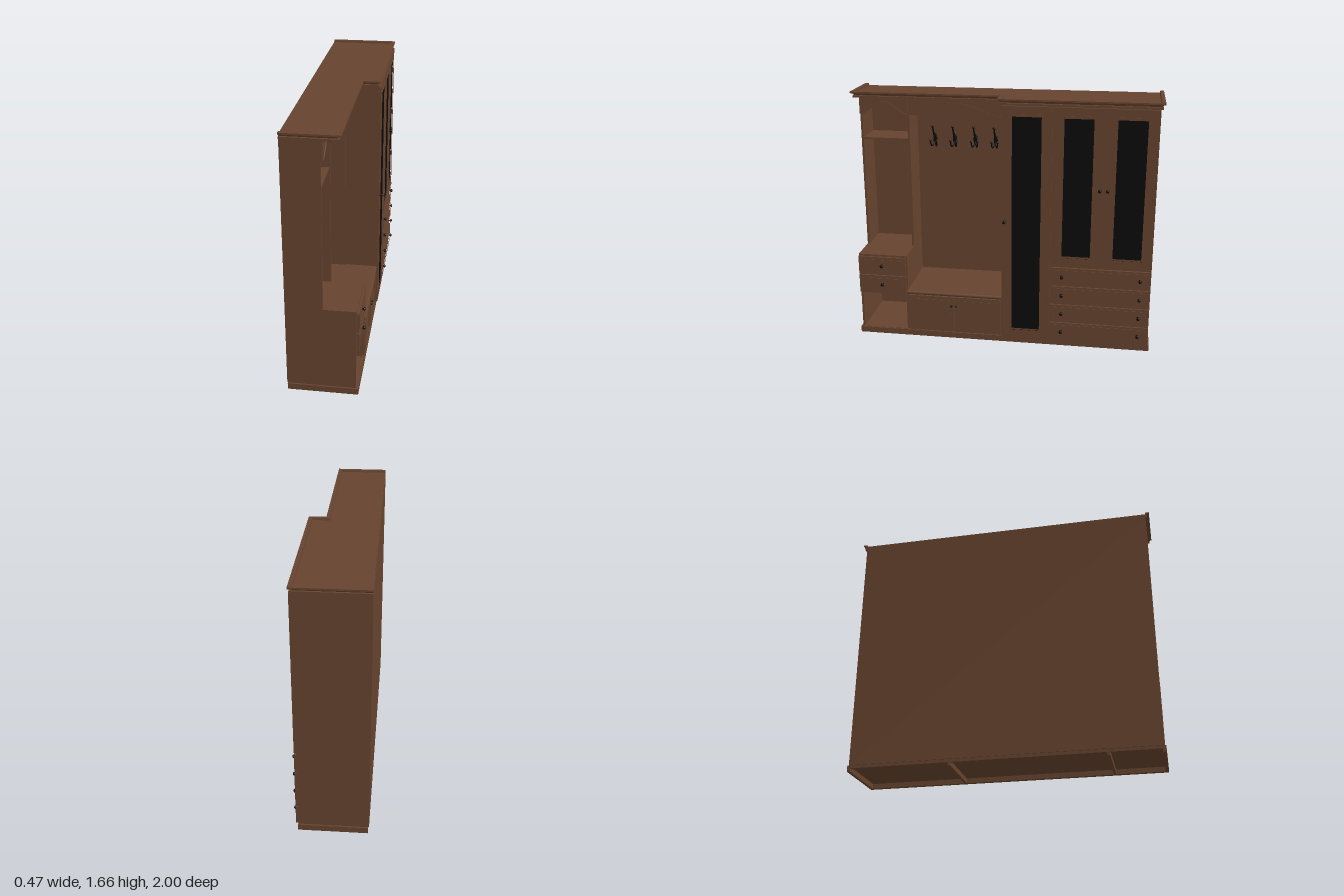
import * as THREE from 'three';

const wood = new THREE.MeshStandardMaterial({ color: 0x66432e });
wood.name = 'brown wood';
const black = new THREE.MeshStandardMaterial({ color: 0x0b0b0b });
black.name = 'black glass and metal';

export function createModel() {
  const root = new THREE.Group();
  root.name = 'hallwayCabinet';

  const add = (name, geo, mat = wood, parent = root) => {
    const m = new THREE.Mesh(geo, mat);
    m.name = name;
    parent.add(m);
    return m;
  };
  // Box given by its limits
  const box = (name, x0, x1, y0, y1, z0, z1, mat = wood, parent = root) => {
    const m = add(name, new THREE.BoxGeometry(x1 - x0, y1 - y0, z1 - z0), mat, parent);
    m.position.set((x0 + x1) / 2, (y0 + y1) / 2, (z0 + z1) / 2);
    return m;
  };
  // Outline drawn in (z, y), pushed from x0 to x1
  const rectPoints = (z0, z1, y0, y1) => [[z0, y0], [z1, y0], [z1, y1], [z0, y1]].map(([z, y]) => new THREE.Vector2(-z, y));
  const slab = (name, shape, x0, x1, parent = root) => {
    const g = new THREE.ExtrudeGeometry(shape, { depth: x1 - x0, bevelEnabled: false });
    g.rotateY(Math.PI / 2);
    g.translate(x0, 0, 0);
    return add(name, g, wood, parent);
  };
  // Rectangular frame of width w
  const frame = (name, z0, z1, y0, y1, w, x0, x1, parent) => {
    const s = new THREE.Shape(rectPoints(z0, z1, y0, y1));
    s.holes.push(new THREE.Path(rectPoints(z0 + w, z1 - w, y0 + w, y1 - w)));
    return slab(name, s, x0, x1, parent);
  };
  // Framed door or drawer front with a recessed panel and a raised bead
  const front = (name, z0, z1, y0, y1, x, w, bead, panelMat = wood) => {
    const g = new THREE.Group();
    g.name = name;
    root.add(g);
    box('panel', x - 0.014, x - 0.008, y0 + 0.01, y1 - 0.01, z0 + 0.01, z1 - 0.01, panelMat, g);
    frame('frame', z0, z1, y0, y1, w, x - 0.015, x, g);
    const i = w - bead * 0.4;
    frame('bead', z0 + i, z1 - i, y0 + i, y1 - i, bead * 0.5, x - 0.008, x + 0.003, g);
    frame('innerBead', z0 + w, z1 - w, y0 + w, y1 - w, bead * 0.6, x - 0.008, x - 0.003, g);
  };
  const knobProfile = [[0, 0], [0.75, 0], [0.4, 0.25], [0.4, 0.9], [1, 1.3], [1, 1.8], [0.6, 2.2], [0, 2.3]];
  const knob = (x, y, z, r = 0.011) => {
    const g = new THREE.LatheGeometry(knobProfile.map(([a, b]) => new THREE.Vector2(a * r, b * r)), 14);
    g.rotateZ(-Math.PI / 2);
    add('knob', g, black).position.set(x, y, z);
  };

  // Plinth
  box('plinthFront', 0.17, 0.195, 0, 0.04, -0.985, 0.985);
  box('plinthBack', -0.235, -0.215, 0.02, 0.04, -0.985, 0.985);
  for (const s of [-1, 1]) box('plinthSide', -0.235, 0.17, 0, 0.04, s * 0.975 - 0.01, s * 0.975 + 0.01);
  for (const z of [0.65, -0.325]) box('plinthRail', -0.235, 0.17, 0, 0.035, z - 0.008, z + 0.008);
  box('bottomBoard', -0.235, 0.185, 0.032, 0.042, -0.975, 0.975);
  box('backPanel', -0.24, -0.23, 0.04, 1.62, -0.973, 0.973);

  // Closed cabinet
  box('tallCarcass', -0.235, 0.193, 0.04, 1.622, -0.975, 0);
  front('tallDoor', -0.32, -0.003, 0.045, 1.618, 0.208, 0.055, 0.018, black);
  front('leftGlassDoor', -0.646, -0.326, 0.577, 1.618, 0.208, 0.058, 0.018, black);
  front('rightGlassDoor', -0.973, -0.653, 0.577, 1.618, 0.208, 0.058, 0.018, black);
  knob(0.208, 0.865, -0.022);
  knob(0.208, 1.1, -0.626);
  knob(0.208, 1.1, -0.674);
  for (let i = 0; i < 4; i++) {
    const y = 0.045 + i * 0.131;
    front('wideDrawer', -0.973, -0.326, y, y + 0.126, 0.208, 0.02, 0.012);
    for (const z of [-0.4, -0.905]) knob(0.202, y + 0.063, z);
  }

  // Open section uprights
  box('endPanelUpper', -0.235, -0.015, 0.575, 1.622, 0.961, 0.975);
  box('endPanelLower', -0.235, 0.18, 0.04, 0.575, 0.961, 0.975);
  box('dividerUpper', -0.235, -0.015, 0.575, 1.622, 0.643, 0.657);
  box('dividerLower', -0.235, 0.18, 0.04, 0.575, 0.643, 0.657);
  box('cabinetUpright', -0.235, -0.015, 0.33, 1.622, 0, 0.012);
  box('upperShelf', -0.235, -0.02, 1.322, 1.335, 0.657, 0.961);

  // Chest of two drawers above an open niche
  box('drawerChestTop', -0.235, 0.185, 0.563, 0.577, 0.645, 0.975);
  box('drawerChestBody', -0.235, 0.18, 0.302, 0.563, 0.657, 0.961);
  for (let i = 0; i < 2; i++) {
    const y = 0.303 + i * 0.133;
    front('smallDrawer', 0.652, 0.975, y, y + 0.128, 0.198, 0.024, 0.012);
    knob(0.191, y + 0.065, 0.815);
  }

  // Bench with two doors
  box('benchBody', -0.235, 0.175, 0.04, 0.305, 0.002, 0.643);
  box('benchSeat', -0.235, 0.187, 0.305, 0.332, 0.002, 0.645);
  const nose = add('benchSeatNose', new THREE.CylinderGeometry(0.0135, 0.0135, 0.643, 16));
  nose.rotation.x = Math.PI / 2;
  nose.position.set(0.186, 0.3185, 0.3235);
  front('benchDoor', 0.006, 0.323, 0.045, 0.3, 0.192, 0.03, 0.012);
  front('benchDoor', 0.327, 0.644, 0.045, 0.3, 0.192, 0.03, 0.012);
  knob(0.192, 0.238, 0.308, 0.007);
  knob(0.192, 0.238, 0.342, 0.007);

  // Arched valances with a bead along the lower edge
  const valance = (z0, z1, flat) => {
    const arch = [];
    const a = z0 + flat, b = z1 - flat;
    for (let i = 0; i <= 28; i++) {
      const t = i / 28;
      const h = Math.pow(Math.sin(Math.PI * t), 1.25) * 0.075;
      arch.push([a + (b - a) * t, 1.498 + h]);
    }
    const edge = [[z0, 1.498], ...arch, [z1, 1.498]].map(([z, y]) => new THREE.Vector2(-z, y));
    slab('valance', new THREE.Shape([...edge, new THREE.Vector2(-z1, 1.622), new THREE.Vector2(-z0, 1.622)]), -0.015, -0.003);
    const raised = edge.map((p) => new THREE.Vector2(p.x, p.y + 0.011)).reverse();
    slab('valanceBead', new THREE.Shape([...edge, ...raised]), -0.015, 0.002);
  };
  valance(0.652, 0.975, 0.025);
  valance(0.002, 0.648, 0.06);

  // Cornice: moulded profile swept round the stepped plan
  const plan = (o) => [
    [-0.238, 0.975 + o], [0.075 + o, 0.975 + o], [0.075 + o, o],
    [0.185 + o, o], [0.185 + o, -0.975 - o], [-0.238, -0.975 - o],
  ];
  const profile = [[0, 1.618], [0.012, 1.62], [0.012, 1.633], [0.004, 1.635], [0.008, 1.643], [0.017, 1.648], [0.025, 1.65], [0.025, 1.66], [0.002, 1.66], [-0.002, 1.64]];
  const pos = [];
  for (let i = 0; i < profile.length - 1; i++) {
    const [o0, y0] = profile[i], [o1, y1] = profile[i + 1];
    const low = plan(o0), high = plan(o1);
    for (let j = 0; j < 5; j++) {
      const p = [low[j][0], y0, low[j][1]], q = [low[j + 1][0], y0, low[j + 1][1]];
      const r = [high[j + 1][0], y1, high[j + 1][1]], s = [high[j][0], y1, high[j][1]];
      pos.push(...p, ...q, ...r, ...p, ...r, ...s);
    }
  }
  // Cut ends of the moulding at the back
  const ends = profile.map(([o, y]) => new THREE.Vector2(o, y));
  for (const s of [1, -1]) {
    for (const tri of THREE.ShapeUtils.triangulateShape(ends, [])) {
      const c = tri.map((k) => [-0.238, ends[k].y, s * (0.975 + ends[k].x)]);
      if (s < 0) c.reverse();
      pos.push(...c.flat());
    }
  }
  const cornice = new THREE.BufferGeometry();
  cornice.setAttribute('position', new THREE.Float32BufferAttribute(pos, 3));
  cornice.computeVertexNormals();
  add('cornice', cornice);

  // Top board inside the cornice
  const topShape = new THREE.Shape(plan(0).map(([x, z]) => new THREE.Vector2(x, -z)));
  const top = new THREE.ExtrudeGeometry(topShape, { depth: 0.026, bevelEnabled: false });
  top.rotateX(-Math.PI / 2);
  top.translate(0, 1.62, 0);
  add('topBoard', top);

  // Coat hooks
  const tube = (pts, r, parent, name) => {
    const curve = new THREE.CatmullRomCurve3(pts.map((p) => new THREE.Vector3(...p)));
    add(name, new THREE.TubeGeometry(curve, 16, r, 8), black, parent);
    add('hookTip', new THREE.SphereGeometry(r * 1.6, 10, 8), black, parent).position.set(...pts[pts.length - 1]);
  };
  for (const z of [0.522, 0.384, 0.241, 0.102]) {
    const hook = new THREE.Group();
    hook.name = 'coatHook';
    hook.position.set(-0.23, 0, z);
    root.add(hook);
    const plate = add('hookPlate', new THREE.SphereGeometry(1, 14, 10), black, hook);
    plate.scale.set(0.008, 0.045, 0.014);
    plate.position.set(0.003, 1.295, 0);
    tube([[0.003, 1.29, 0], [0.025, 1.305, 0], [0.05, 1.345, 0], [0.075, 1.392, 0]], 0.0055, hook, 'hookArm');
    for (const s of [-1, 1]) {
      tube([[0.003, 1.285, 0], [0.02, 1.255, s * 0.008], [0.045, 1.253, s * 0.017], [0.058, 1.29, s * 0.021]], 0.005, hook, 'hookProng');
    }
  }

  return root;
}
